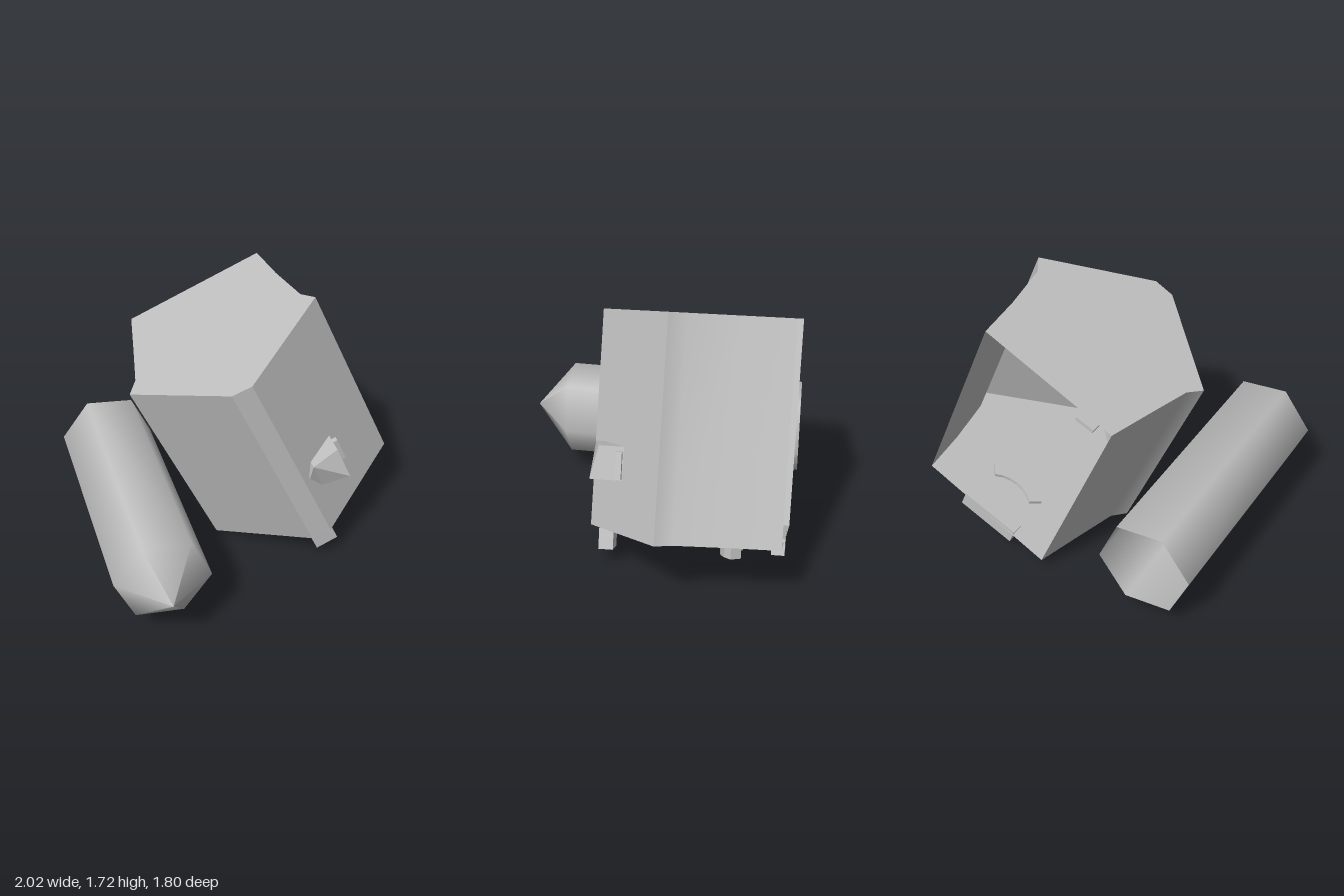
import * as THREE from 'three';

const TILT = 0.406; // lean of the casing about z

export function createModel() {
  const grey = new THREE.MeshStandardMaterial({ color: 0xc0c0c0, side: THREE.DoubleSide });
  grey.name = 'grey';
  const root = new THREE.Group();
  const add = (name, geometry, parent = root) => {
    const mesh = new THREE.Mesh(geometry, grey);
    mesh.name = name;
    parent.add(mesh);
    return mesh;
  };

  // Casing: open-backed leaning prism. Outline as (x, z) of its top rim.
  const outline = [
    [-0.51, -0.89], [-0.57, -0.58], [-0.63, -0.28], [-0.69, -0.18], [-0.19, 0.31],
    [-0.07, 0.32], [0.47, -0.14], [0.41, -0.24], [0.36, -0.56], [0.33, -0.86],
  ];
  const top = ([x, z]) => [x, 1.23 + (x + 0.69) * 0.431, z];
  const bottom = (p) => {
    const [x, y, z] = top(p);
    return [x + 0.525, y - 1.22, z + 0.015];
  };

  // One wall, smooth along its own run of outline points
  const wall = (name, from, to) => {
    const positions = [], index = [];
    for (let i = from; i <= to; i++) {
      positions.push(...top(outline[i]), ...bottom(outline[i]));
      if (i < to) {
        const a = (i - from) * 2;
        index.push(a, a + 1, a + 2, a + 2, a + 1, a + 3);
      }
    }
    const g = new THREE.BufferGeometry();
    g.setAttribute('position', new THREE.Float32BufferAttribute(positions, 3));
    g.setIndex(index);
    g.computeVertexNormals();
    add(name, g);
  };
  wall('rightWall', 0, 3);
  wall('frontRightWall', 3, 4);
  wall('frontRidge', 4, 5);
  wall('frontLeftWall', 5, 6);
  wall('leftWall', 6, 9);

  // End plates
  const cap = (name, place) => {
    const g = new THREE.ShapeGeometry(new THREE.Shape(outline.map((p) => new THREE.Vector2(...p))));
    const pos = g.attributes.position;
    for (let i = 0; i < pos.count; i++) pos.setXYZ(i, ...place([pos.getX(i), pos.getY(i)]));
    g.computeVertexNormals();
    add(name, g);
  };
  cap('topPlate', top);
  cap('bottomPlate', bottom);

  // Fittings under the bottom plate, in the plate's own frame
  const underside = new THREE.Group();
  underside.name = 'undersideFittings';
  underside.position.set(-0.165, 0.01, 0);
  underside.rotation.z = TILT;
  root.add(underside);
  add('frontPeg', new THREE.BoxGeometry(0.15, 0.175, 0.09), underside).position.set(0.615, -0.058, 0.235);
  add('rearBar', new THREE.BoxGeometry(0.39, 0.1, 0.08), underside).position.set(0.63, -0.03, -0.82);

  // Curved rib
  const arc = [];
  for (const [r, dir] of [[0.29, 1], [0.21, -1]]) {
    for (let i = 0; i <= 6; i++) {
      const a = dir * (i / 3 - 1) * 0.74;
      arc.push(new THREE.Vector2(0.645 + r * Math.sin(a), 0.756 - r * Math.cos(a)));
    }
  }
  const rib = new THREE.ExtrudeGeometry(new THREE.Shape(arc), { depth: 0.145, bevelEnabled: false });
  rib.rotateX(-Math.PI / 2);
  rib.translate(0, -0.123, 0);
  add('curvedRib', rib, underside);

  // Catch on the front wall, its face sloping back at top and bottom
  const catchOutline = [[0.33, 0.8], [0.307, 0.717], [0.41, 0.605], [0.575, 0.675], [0.5, 0.865]];
  const block = new THREE.ExtrudeGeometry(
    new THREE.Shape(catchOutline.map((p) => new THREE.Vector2(...p))), { depth: 1, bevelEnabled: false });
  const bp = block.attributes.position;
  for (let i = 0; i < bp.count; i++) {
    const slope = 0.7 * Math.max(0, Math.abs(bp.getY(i) - 0.735) - 0.06);
    bp.setZ(i, bp.getZ(i) > 0.5 ? 0.315 - slope : 0.08);
  }
  block.computeVertexNormals();
  add('catchBlock', block);
  const tab = add('catchTab', new THREE.BoxGeometry(0.05, 0.165, 0.035));
  tab.position.set(0.55, 0.764, 0.14);
  tab.rotation.z = TILT;

  // Six-sided pointed tube, open at the back
  const profile = [[0.301, -0.9], [0.301, 0.66], [0, 0.9]].map((p) => new THREE.Vector2(...p));
  const tube = new THREE.LatheGeometry(profile, 6);
  tube.rotateX(Math.PI / 2);
  tube.rotateZ(THREE.MathUtils.degToRad(23.3));
  const tp = tube.attributes.position;
  for (let i = 0; i < tp.count; i++) tp.setY(i, tp.getY(i) + 0.029 * (tp.getZ(i) - 0.66)); // slight droop
  tube.translate(-0.725, 0.467, 0);
  add('pointedTube', tube);

  return root;
}
